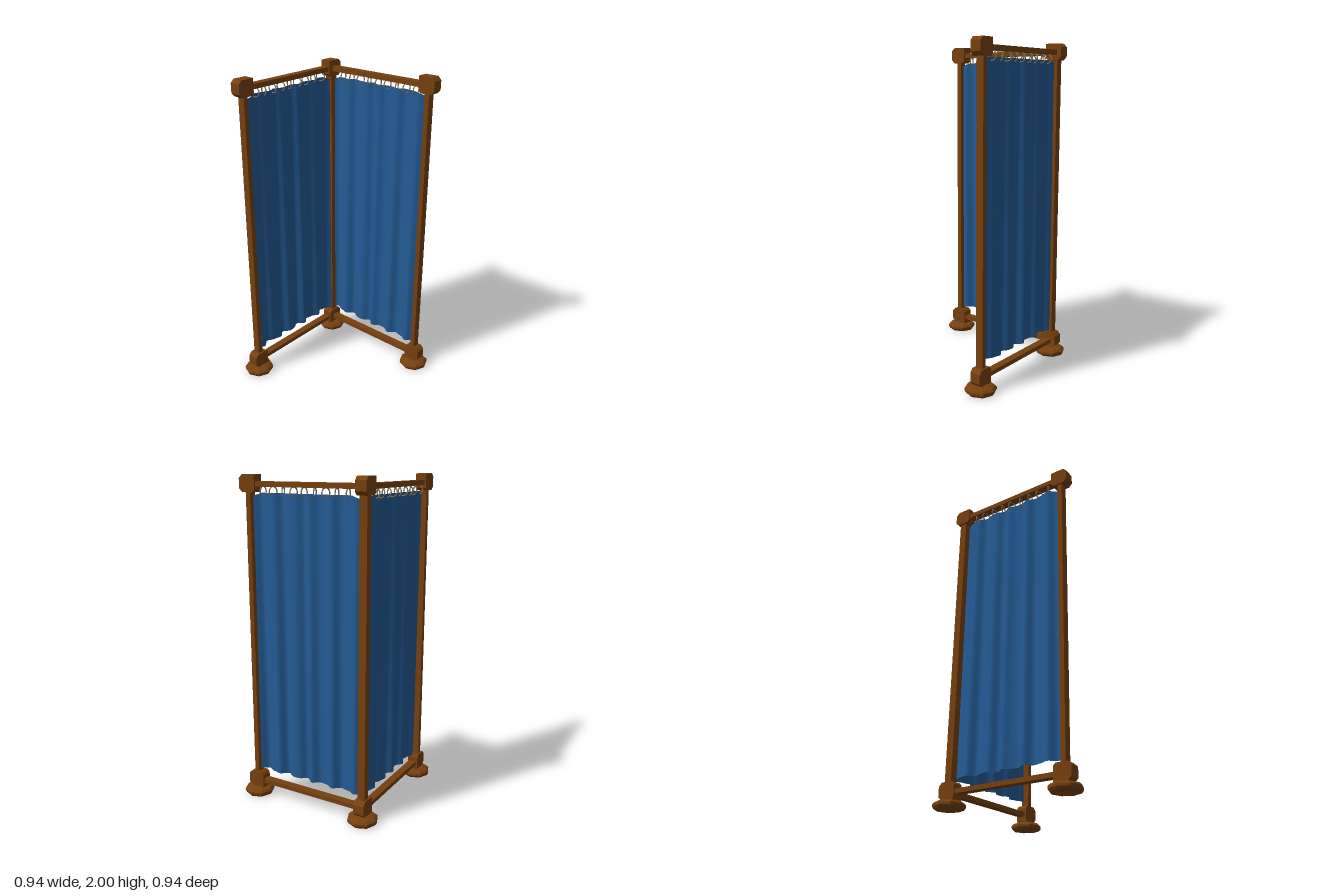
import * as THREE from 'three';

function material(name, color, options = {}) {
  const m = new THREE.MeshStandardMaterial({ color, ...options });
  m.name = name;
  return m;
}

const OFFSET = 0.377; // distance of posts from the centre

export function createModel() {
  const wood = material('brown wood', 0x77400e, { flatShading: true });
  const cloth = material('blue cloth', 0x235a94, { side: THREE.DoubleSide });
  const metal = material('tan metal', 0x8c7a5c);

  function add(parent, name, geometry, mat, x = 0, y = 0, z = 0) {
    const mesh = new THREE.Mesh(geometry, mat);
    mesh.name = name;
    mesh.position.set(x, y, z);
    parent.add(mesh);
    return mesh;
  }

  // Joint block: bevelled on its outer (+x) end and the inner edge facing the cloth
  function blockGeometry(height) {
    const w = 0.054, h = height / 2, c = 0.021, d = 0.068;
    const shape = new THREE.Shape([
      [-w, h], [-w, -h + 0.015], [-w + 0.015, -h], [w - c, -h],
      [w, -h + c], [w, h - c], [w - c, h],
    ].map(([x, y]) => new THREE.Vector2(x, y)));
    const g = new THREE.ExtrudeGeometry(shape, { depth: d, bevelEnabled: false });
    return g.translate(0, 0, -d / 2);
  }

  // Eight-sided foot with a hollow underside
  const footProfile = [
    [0, 0.022], [0.05, 0.022], [0.066, 0.004], [0.084, 0.004], [0.094, 0.018],
    [0.094, 0.032], [0.08, 0.045], [0.045, 0.055], [0, 0.055],
  ].map(([r, y]) => new THREE.Vector2(r, y));
  const footGeometry = new THREE.LatheGeometry(footProfile, 8);

  // Upright post with two joint blocks and a foot
  function createPost(name, thickness) {
    const post = new THREE.Group();
    post.name = name;
    add(post, 'upright', new THREE.BoxGeometry(thickness, 1.85, 0.047), wood, 0, 1.025, 0);
    add(post, 'topBlock', blockGeometry(0.1), wood, 0, 1.95, 0);
    const lower = add(post, 'bottomBlock', blockGeometry(0.1), wood, 0, 0.104, 0);
    lower.rotation.x = Math.PI;
    add(post, 'foot', footGeometry, wood);
    return post;
  }

  // Cloth with vertical folds that deepen towards the hem
  function curtainGeometry(phase) {
    const g = new THREE.PlaneGeometry(0.7, 1.722, 84, 10);
    const p = g.attributes.position;
    for (let i = 0; i < p.count; i++) {
      const x = p.getX(i), y = p.getY(i);
      const t = 0.5 - y / 1.722;
      const fold = Math.sin(x * 46 + phase + 0.5 * Math.sin(x * 11))
        + 0.35 * Math.sin(x * 83 + phase * 2);
      p.setZ(i, fold * (0.009 + 0.006 * t));
      // top corners sag just past the last rings
      const sag = Math.max(0, Math.abs(x) - 0.3) * 0.35;
      if (t < 0.01) p.setY(i, y - sag);
    }
    g.computeVertexNormals();
    return g;
  }

  // One side of the screen, running along x with its free post at +x
  function createPanel(name, phase) {
    const panel = new THREE.Group();
    panel.name = name;
    add(panel, 'topRail', new THREE.BoxGeometry(0.7, 0.03, 0.048), wood, 0, 1.947, 0);
    add(panel, 'bottomRail', new THREE.BoxGeometry(0.7, 0.027, 0.048), wood, 0, 0.098, 0);
    add(panel, 'curtain', curtainGeometry(phase), cloth, 0, 1.037, 0);

    const ring = new THREE.TorusGeometry(0.028, 0.0038, 6, 16);
    for (let i = 0; i < 9; i++) {
      const mesh = add(panel, 'curtainRing', ring, metal, -0.275 + i * 0.07, 1.906, 0);
      mesh.rotation.y = Math.PI / 2 + 0.35 * Math.sin(i * 2.3 + phase);
    }

    const post = createPost('endPost', 0.03);
    post.position.x = OFFSET;
    panel.add(post);
    return panel;
  }

  const model = new THREE.Group();
  model.name = 'cornerScreen';

  const back = createPanel('backPanel', 0.4);
  back.position.z = -OFFSET;

  const side = createPanel('sidePanel', 1.7);
  side.position.x = -OFFSET - 0.002;
  side.rotation.y = -Math.PI / 2;

  const corner = createPost('cornerPost', 0.045);
  corner.position.set(-OFFSET - 0.002, 0, -OFFSET);
  corner.rotation.y = Math.PI / 2;

  model.add(back, side, corner);

  // Rest the feet on the ground
  model.position.y = -0.004;
  const root = new THREE.Group();
  root.name = 'curtainScreen';
  root.add(model);
  return root;
}
